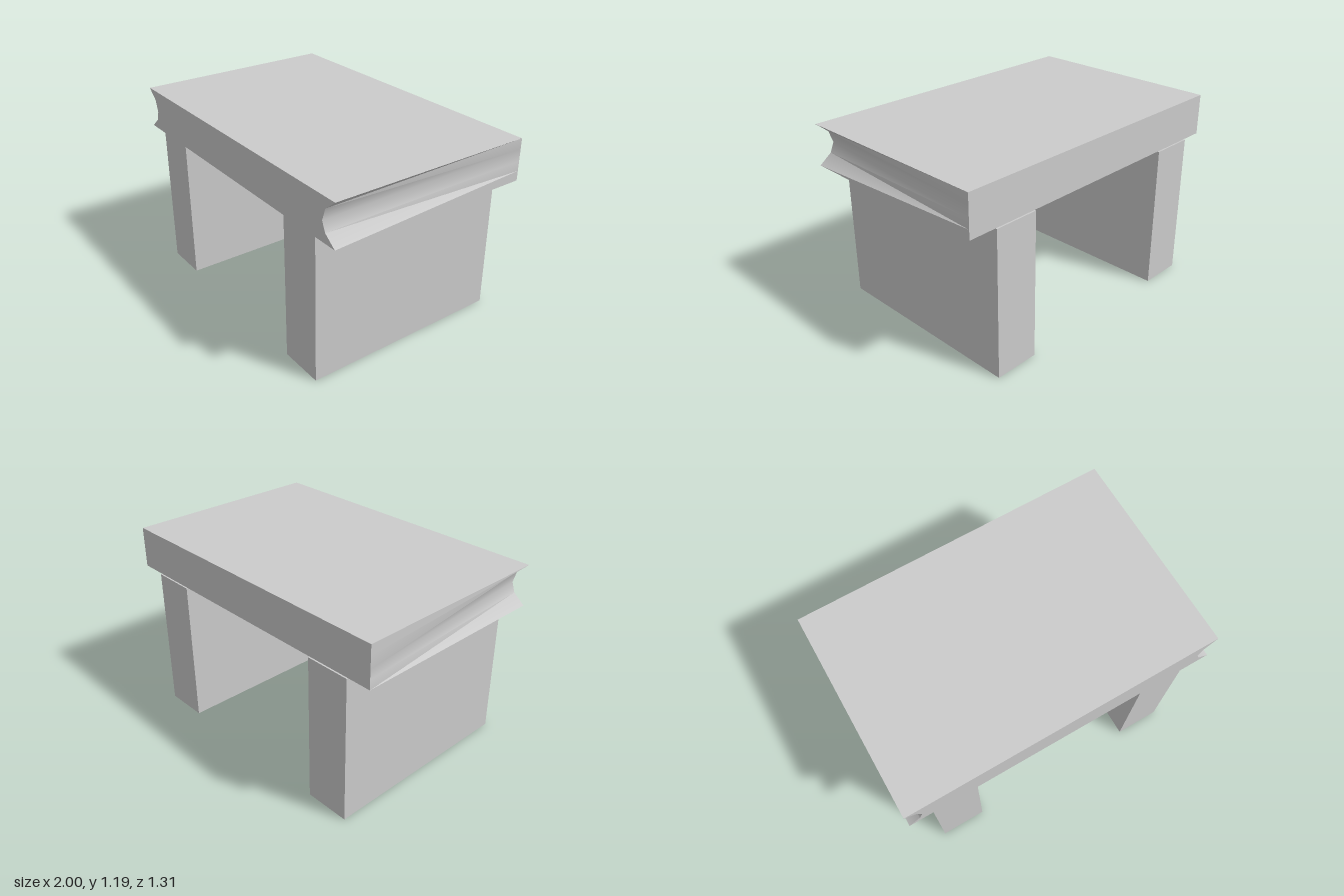
import * as THREE from 'three';
import { toCreasedNormals } from 'three/addons/utils/BufferGeometryUtils.js';

export function createModel() {
  const model = new THREE.Group();
  const material = new THREE.MeshStandardMaterial({ color: 0xcccccc });

  const add = (name, geometry, x, y, z) => {
    const mesh = new THREE.Mesh(geometry, material);
    mesh.name = name;
    mesh.position.set(x, y, z);
    model.add(mesh);
  };

  // Slab outline at the front: a hollow notch in each end
  const depth = 1.3;
  const outline = [
    [-1, 0.93], [1, 0.93],
    [0.922, 0.99], [0.896, 1.05], [0.922, 1.125], [1, 1.19],
    [-1, 1.19], [-0.928, 1.125], [-0.907, 1.05], [-0.928, 0.99],
  ];
  const shape = new THREE.Shape(outline.map(([x, y]) => new THREE.Vector2(x, y)));
  const slab = new THREE.ExtrudeGeometry(shape, { depth, bevelEnabled: false });

  // The hollows fade out towards the back, where the ends are straight
  const pos = slab.attributes.position;
  for (let i = 0; i < pos.count; i++) {
    if (pos.getZ(i) < depth / 2) pos.setX(i, Math.sign(pos.getX(i)));
  }
  add('tabletop', toCreasedNormals(slab, 0.78), 0, 0, -0.645);

  // Two slab legs, set slightly back
  const legWidth = 0.285, legHeight = 0.93;
  for (const [name, x] of [['rightLeg', -0.708], ['leftLeg', 0.682]]) {
    add(name, new THREE.BoxGeometry(legWidth, legHeight, depth), x, legHeight / 2, -0.005);
  }

  return model;
}
